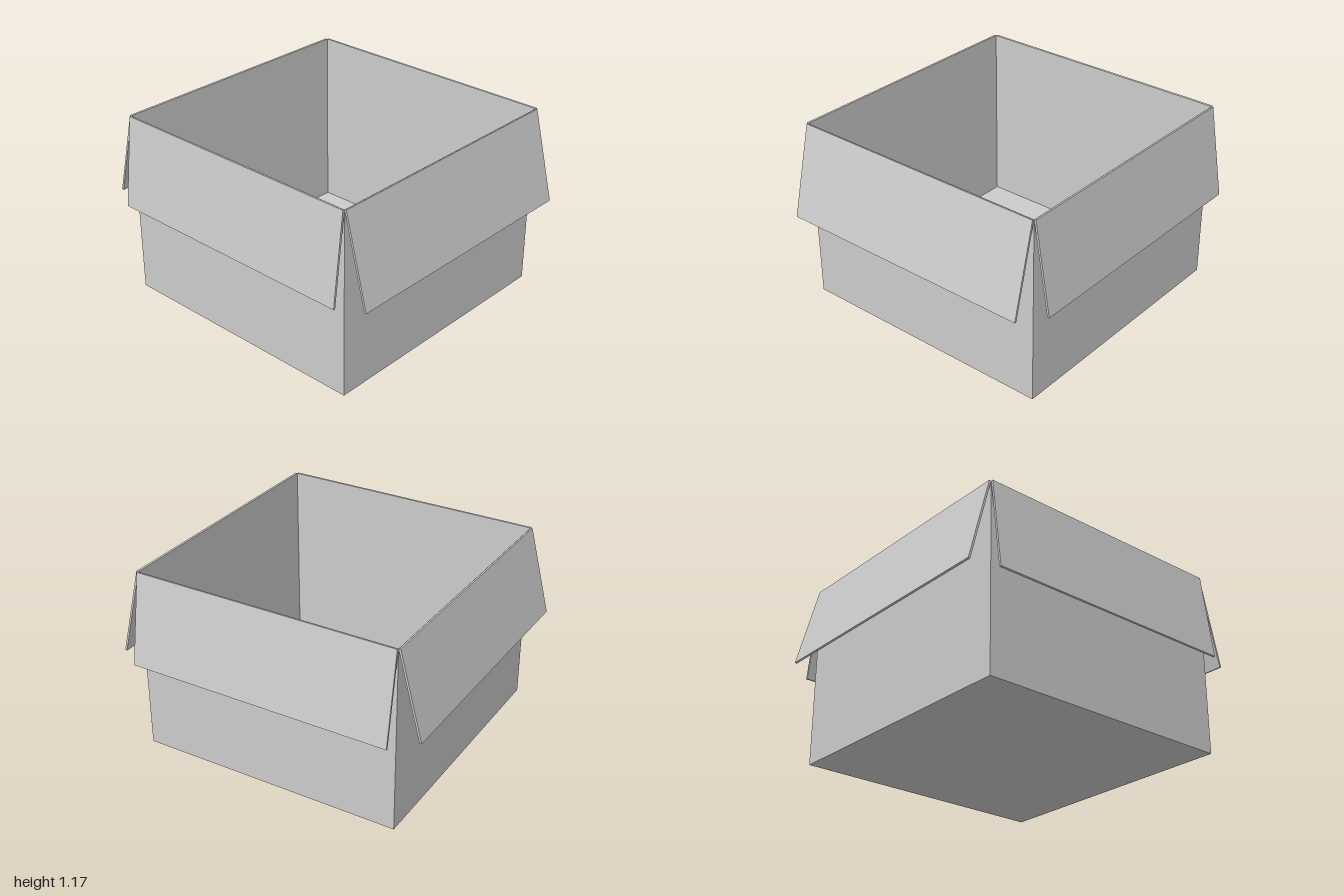
import * as THREE from 'three';

const LEFT = 0.832, RIGHT = -0.859, DEPTH = 0.845, HEIGHT = 1.17, THICK = 0.013;

export function createModel() {
  const model = new THREE.Group();
  const material = new THREE.MeshStandardMaterial({ color: 0xcccccc, side: THREE.DoubleSide });
  const cx = (LEFT + RIGHT) / 2, width = LEFT - RIGHT;

  const add = (name, geometry, parent = model) => {
    const mesh = new THREE.Mesh(geometry, material);
    mesh.name = name;
    parent.add(mesh);
    return mesh;
  };

  // Thin floor sheet
  const floor = add('floor', new THREE.PlaneGeometry(width, 2 * DEPTH));
  floor.rotation.x = Math.PI / 2;
  floor.position.x = cx;

  // Each side is a thin wall with a flap folded down outside it.
  // The side is built facing +z, then turned about the box's centre line.
  const sides = [
    { name: 'front', turn: 0, length: width, out: DEPTH, spread: 0.142, tip: 0.605 },
    { name: 'back', turn: Math.PI, length: width, out: DEPTH, spread: 0.14, tip: 0.63 },
    { name: 'left', turn: Math.PI / 2, length: 2 * DEPTH, out: width / 2, spread: 0.096, tip: 0.602 },
    { name: 'right', turn: -Math.PI / 2, length: 2 * DEPTH, out: width / 2, spread: 0.071, tip: 0.602 },
  ];
  for (const { name, turn, length, out, spread, tip } of sides) {
    const side = new THREE.Group();
    side.name = name + 'Side';
    side.position.x = cx;
    side.rotation.y = turn;
    model.add(side);

    const wall = add(name + 'Wall', new THREE.PlaneGeometry(length, HEIGHT), side);
    wall.position.set(0, HEIGHT / 2, out);

    const drop = HEIGHT - tip;
    const flap = add(name + 'Flap', new THREE.BoxGeometry(length, Math.hypot(drop, spread), THICK), side);
    flap.position.set(0, (HEIGHT + tip) / 2, out + spread / 2 + THICK / 2);
    flap.rotation.x = -Math.atan2(spread, drop);
  }
  return model;
}
